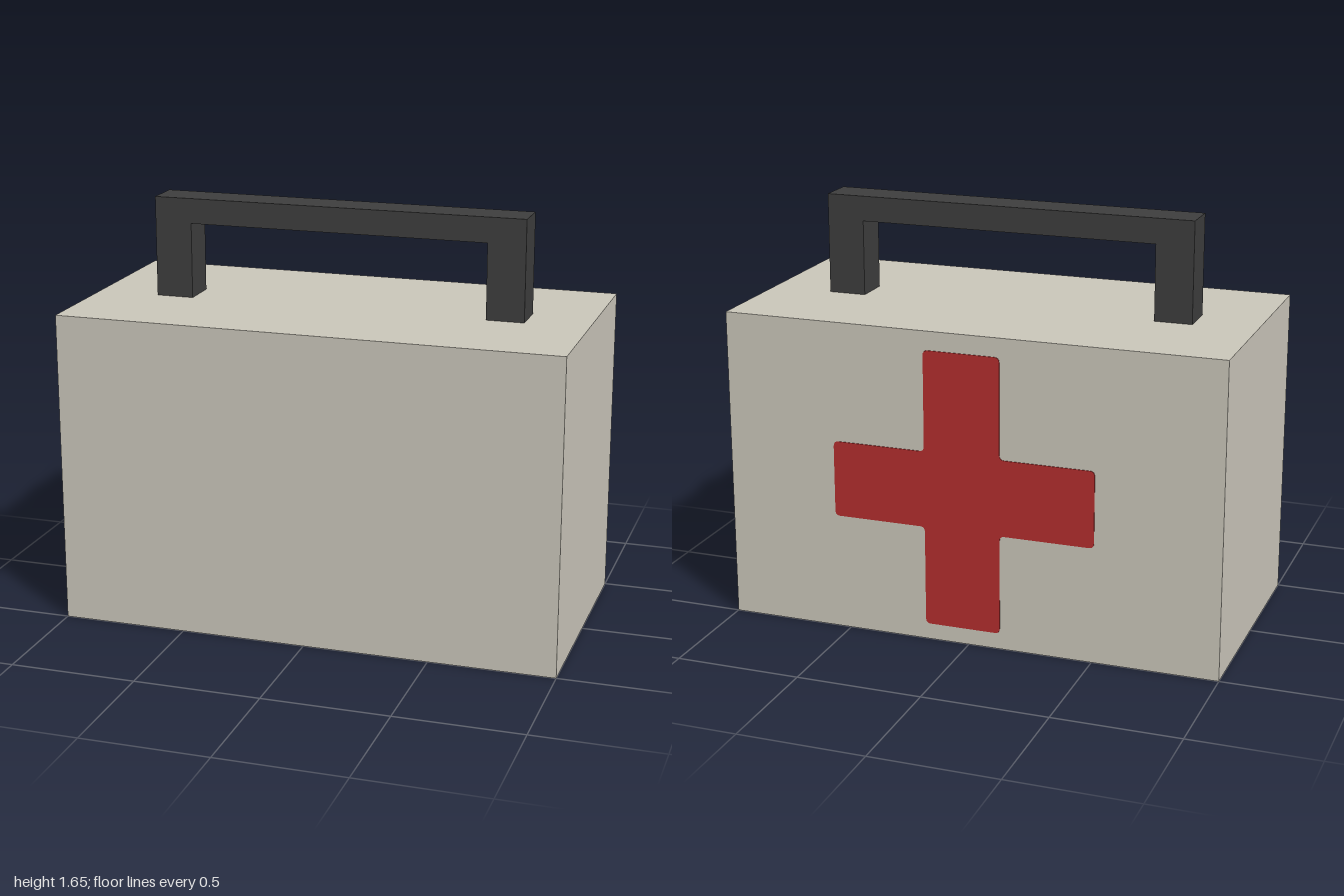
import * as THREE from 'three';

function material(name, color) {
  const m = new THREE.MeshStandardMaterial({ color });
  m.name = name;
  return m;
}

// Closed shape through the given corners, each softened by radius r
function softShape(corners, r) {
  const pts = corners.map(([x, y]) => new THREE.Vector2(x, y));
  const shape = new THREE.Shape();
  pts.forEach((p, i) => {
    const toward = (q) => q.clone().sub(p).setLength(r).add(p);
    const a = toward(pts[(i + pts.length - 1) % pts.length]);
    const b = toward(pts[(i + 1) % pts.length]);
    if (i === 0) shape.moveTo(a.x, a.y);
    else shape.lineTo(a.x, a.y);
    shape.quadraticCurveTo(p.x, p.y, b.x, b.y);
  });
  shape.closePath();
  return shape;
}

export function createModel() {
  const group = new THREE.Group();
  group.name = 'medicalCase';
  const beige = material('beige', 0xc9c5b9);
  const charcoal = material('charcoal', 0x3d3d3d);
  const red = material('red', 0xb22d2d);

  const add = (name, geometry, mat, x, y, z) => {
    const mesh = new THREE.Mesh(geometry, mat);
    mesh.name = name;
    mesh.position.set(x, y, z);
    group.add(mesh);
    return mesh;
  };

  // Case body
  add('caseBody', new THREE.BoxGeometry(2, 1.25, 1), beige, 0, 0.625, 0);

  // Square-section carrying handle, one U-shaped bar
  const u = [[-0.75, 0], [-0.6, 0], [-0.6, 0.3], [0.6, 0.3], [0.6, 0], [0.75, 0], [0.75, 0.4], [-0.75, 0.4]];
  const uShape = new THREE.Shape(u.map(([x, y]) => new THREE.Vector2(x, y)));
  const handle = new THREE.ExtrudeGeometry(uShape, { depth: 0.15, bevelEnabled: false });
  add('handle', handle, charcoal, 0, 1.25, -0.075);

  // Painted cross on the back face
  const w = 0.153, h = 0.555, s = 0.53;
  const cross = softShape([
    [-w, -h], [w, -h], [w, -w], [s, -w], [s, w], [w, w],
    [w, h], [-w, h], [-w, w], [-s, w], [-s, -w], [-w, -w],
  ], 0.02);
  const plate = new THREE.ExtrudeGeometry(cross, { depth: 0.003, bevelEnabled: false, curveSegments: 4 });
  add('backCross', plate, red, 0.025, 0.62, -0.5).rotation.y = Math.PI;

  return group;
}
